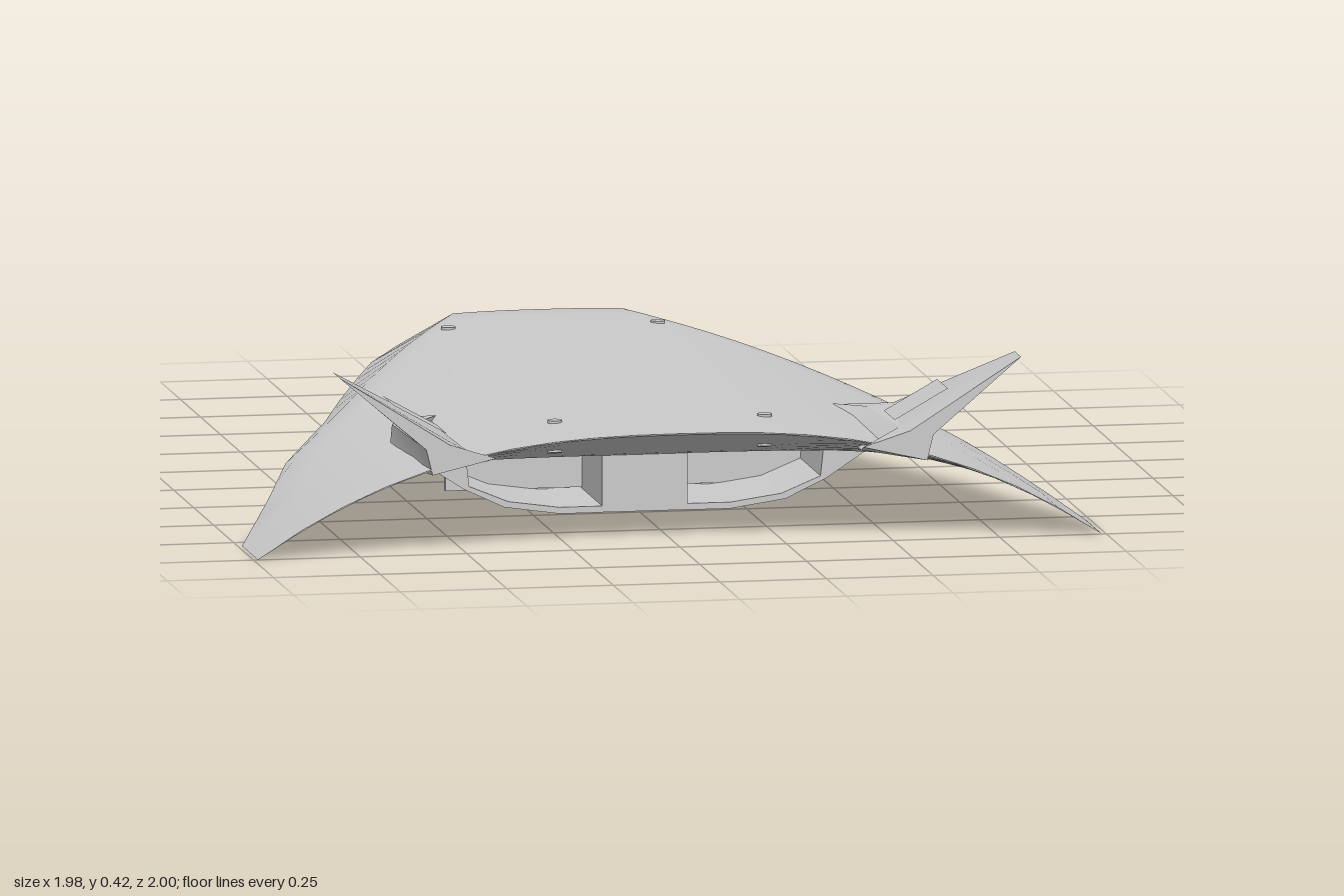
import * as THREE from 'three';
import { toCreasedNormals } from 'three/addons/utils/BufferGeometryUtils.js';

const grey = new THREE.MeshStandardMaterial({ color: 0xcccccc });
const pale = new THREE.MeshStandardMaterial({ color: 0xf0f0f0, side: THREE.DoubleSide });

// Linear lookup in a table of [z, value]
function at(table, z) {
  let i = 1;
  while (i < table.length - 1 && z > table[i][0]) i++;
  const [z0, a] = table[i - 1], [z1, b] = table[i];
  return a + (b - a) * THREE.MathUtils.clamp((z - z0) / (z1 - z0), 0, 1);
}

// Skin a list of { z, ring } sections; rings run counter-clockwise seen from +z
function loft(sections, crease = 0.5, capStart = true, capEnd = true) {
  const n = sections[0].ring.length, pos = [], index = [];
  sections.forEach(s => s.ring.forEach(([x, y, z]) => pos.push(x, y, z ?? s.z)));
  for (let k = 0; k < sections.length - 1; k++) {
    for (let i = 0; i < n; i++) {
      const a = k * n + i, b = k * n + (i + 1) % n;
      index.push(a, b, b + n, a, b + n, a + n);
    }
  }
  const cap = (k, flip) => {
    const pts = sections[k].ring.map(p => new THREE.Vector2(p[0], p[1]));
    for (const [a, b, c] of THREE.ShapeUtils.triangulateShape(pts, [])) {
      index.push(k * n + a, k * n + (flip ? c : b), k * n + (flip ? b : c));
    }
  };
  if (capStart) cap(0, true);
  if (capEnd) cap(sections.length - 1, false);
  const g = new THREE.BufferGeometry();
  g.setAttribute('position', new THREE.Float32BufferAttribute(pos, 3));
  g.setIndex(index);
  return toCreasedNormals(g, crease);
}

// Mirror sections to the -x side, keeping the ring direction
const mirrored = sections => sections.map(s => ({
  z: s.z, ring: s.ring.map(([x, ...r]) => [-x, ...r]).reverse(),
}));

// Hull rules: half width, leading edge height, chamfer start, belly height
const WIDTH = [[-1, .2], [-.8, .32], [-.6, .425], [-.4, .5], [-.2, .575], [0, .645], [.33, .8], [.58, .89], [.8, .99], [1, .99]];
const EDGE = [[-1, .195], [-.78, .19], [-.4, .175], [0, .15], [.33, .11], [.58, .064], [.8, 0], [1, 0]];
const CHAMFER = [[-1, .195], [-.78, .2], [-.43, .38], [.05, .61], [.4, .815], [.8, .985], [1, .985]];
const BELLY = [[-1, .19], [-.78, .125], [-.34, .13], [.5, .145], [1, .145]];
const NOSE = [[-1, .196], [-.78, .265], [1, .265]];

const crown = (x, z) => Math.min(.265 - .265 * Math.pow(Math.abs(x) / .99, 2.6), at(NOSE, z));
function topY(x, z) {
  const w = at(WIDTH, z), c = Math.min(at(CHAMFER, z), w - .004), a = Math.abs(x);
  if (a <= c) return crown(a, z);
  return THREE.MathUtils.lerp(crown(c, z), at(EDGE, z), (a - c) / (w - c));
}
function bottomY(x, z) {
  const belly = at(BELLY, z), top = topY(x, z) - .003;
  const y = belly + (at(EDGE, z) - belly) * Math.pow(Math.abs(x) / at(WIDTH, z), 4);
  const rise = THREE.MathUtils.clamp((z - .56) / .44, 0, 1); // expansion ramp at the tail
  return Math.min(top, THREE.MathUtils.lerp(y, top, rise));
}

function hullGeometry() {
  const zs = [-1, -.93, -.86, -.78, -.7, -.6, -.5, -.4, -.3, -.2, -.1, 0, .1, .2, .33, .45, .56, .68, .8, .9, 1];
  return loft(zs.map(z => {
    const w = at(WIDTH, z), e = at(EDGE, z), c = Math.min(at(CHAMFER, z), w - .004), ring = [[-w, e]];
    for (let i = -11; i <= 11; i++) ring.push([w * i / 12, bottomY(w * i / 12, z)]);
    ring.push([w, e]);
    for (let i = 10; i >= -10; i--) ring.push([c * i / 10, crown(c * i / 10, z)]);
    return { z, ring };
  }));
}

// Canted fin: inner root, inner fillet, tip, outer elbow, outer root
const FIN = [
  { z: .41, ring: [[.46, .21], [.46, .215], [.46, .22], [.46, .223], [.46, .226]] },
  { z: .57, ring: [[.45, .2], [.6, .18], [.595, .235], [.58, .25], [.52, .243]] },
  { z: .92, ring: [[.44, .2], [.585, .18], [.595, .243], [.8, .42], [.53, .252]] },
  { z: 1, ring: [[.43, .22], [.58, .185], [.595, .245], [.8, .42], [.54, .255]] },
];

// Solid side of the engine beside the intake, then the hollow tail shell
const flank = (z, y0, x1, x2, x3) => ({
  z, ring: [[.18, y0], [.2, y0], [x1, y0 + (.14 - y0) * .15], [x2, y0 + (.14 - y0) * .5], [x3, .15], [.18, .15]],
});
const FLANK = [
  flank(-.34, .128, .205, .21, .215), flank(-.1, .012, .26, .315, .36),
  flank(.14, .012, .33, .43, .5), flank(.3, .012, .33, .425, .53),
];
const shell = z => ({
  z, ring: [[.1, .012], [.2, .012], [.33, .031], [.425, .076], [.53, .145], [.42, .155],
    [.412, .082], [.32, .044], [.2, .027], [.1, .027]],
});
const SHELL = [shell(.3), shell(.56)];

export function createModel() {
  const model = new THREE.Group();
  const add = (name, geometry, material = grey, p = [0, 0, 0], tilt = 0) => {
    const m = new THREE.Mesh(geometry, material);
    m.name = name;
    m.position.set(...p);
    m.rotation.x = tilt;
    model.add(m);
    return m;
  };
  const box = (name, x0, x1, y0, y1, z0, z1) => add(name, new THREE.BoxGeometry(x1 - x0, y1 - y0, z1 - z0), grey,
    [(x0 + x1) / 2, (y0 + y1) / 2, (z0 + z1) / 2]);

  add('hull', hullGeometry());

  for (const [side, s] of [['left', 1], ['right', -1]]) {
    const pick = list => (s > 0 ? list : mirrored(list));
    add(side + 'Fin', loft(pick(FIN), .3, false));
    add(side + 'EngineFlank', loft(pick(FLANK), .45));
    add(side + 'NozzleShell', loft(pick(SHELL), .45));

    // Pale panel on the inner face of the fin
    const panel = new THREE.BufferGeometry();
    panel.setAttribute('position', new THREE.Float32BufferAttribute([
      s * .525, .262, .75, s * .525, .262, .885, s * .65, .332, .885, s * .65, .332, .75], 3));
    panel.setIndex(s > 0 ? [0, 1, 2, 0, 2, 3] : [0, 2, 1, 0, 3, 2]);
    panel.computeVertexNormals();
    add(side + 'FinPanel', panel, pale);

    // Thruster ports above and below, and square vents under the nose
    for (const z of [-.59, .745]) {
      const port = new THREE.CylinderGeometry(.017, .017, .01, 20);
      add(side + 'UpperPort', port, grey, [s * .246, topY(.246, z), z]);
      add(side + 'LowerPort', port, grey, [s * .246, bottomY(.246, z), z], z > 0 ? -.25 : 0);
    }
    add(side + 'NoseVent', new THREE.BoxGeometry(.05, .008, .05), grey, [s * .14, bottomY(.14, -.9), -.9], .29);
  }

  // Engine floor, bulkhead and the block between the two nozzles
  box('engineFloor', -.18, .18, .012, .027, -.1, .31);
  box('intakeBulkhead', -.18, .18, .02, .15, .02, .04);
  box('nozzleBulkhead', -.42, .42, .03, .15, .29, .305);
  box('nozzleDivider', -.1, .1, .012, .155, .03, .558);

  // Wedge that splits the intake in two
  const wedge = new THREE.Shape([[.34, .15], [.34, .128], [.1, .012], [-.03, .012], [-.03, .15]]
    .map(p => new THREE.Vector2(...p)));
  const divider = new THREE.ExtrudeGeometry(wedge, { depth: .03, bevelEnabled: false });
  divider.translate(0, 0, -.015).rotateY(Math.PI / 2);
  add('intakeDivider', divider);

  // Small hatch on top of the nose
  add('noseHatch', new THREE.CylinderGeometry(.022, .022, .01, 20), grey, [0, topY(0, -.845), -.845], -.31);
  return model;
}
